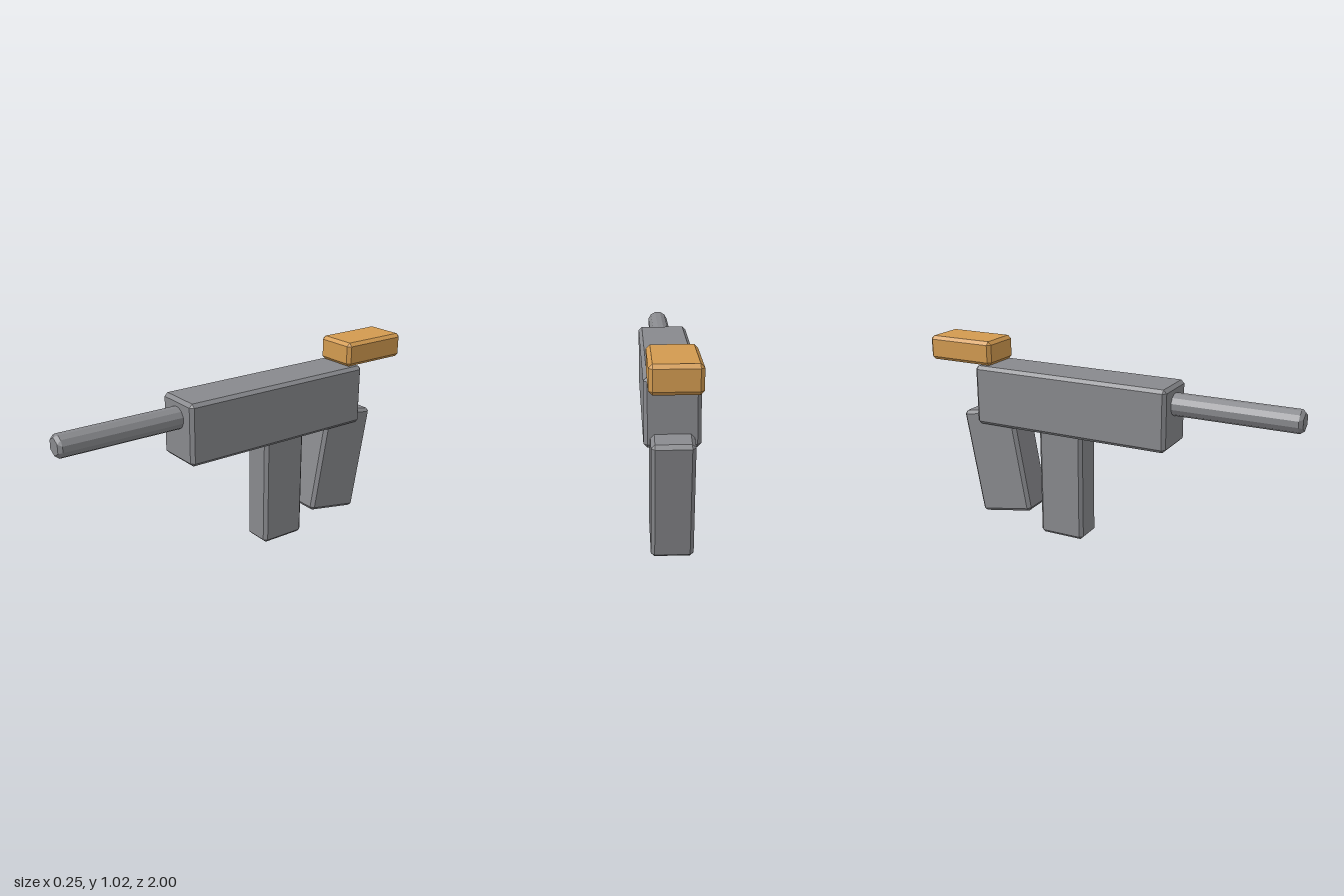
import * as THREE from 'three';
import { ConvexGeometry } from 'three/addons/geometries/ConvexGeometry.js';

const BEVEL = 0.017;

// Box with every edge and corner cut off flat
function bevelBox(w, h, d, b = BEVEL) {
  const half = [w / 2, h / 2, d / 2];
  const points = [];
  for (const sx of [-1, 1]) for (const sy of [-1, 1]) for (const sz of [-1, 1]) {
    for (let axis = 0; axis < 3; axis++) {
      const [x, y, z] = half.map((v, i) => (i === axis ? v : v - b));
      points.push(new THREE.Vector3(sx * x, sy * y, sz * z));
    }
  }
  return new ConvexGeometry(points);
}

// Hexagonal rod along z with bevelled edges and ends
function bevelRod(radius, z0, z1, b = BEVEL) {
  const points = [];
  const ring = (sides, r, start, z) => {
    for (let i = 0; i < sides; i++) {
      const a = start + (i / sides) * Math.PI * 2;
      points.push(new THREE.Vector3(r * Math.cos(a), r * Math.sin(a), z));
    }
  };
  ring(6, radius - 0.013, Math.PI / 2, z0);
  ring(12, radius, Math.PI / 12, z0 + b);
  ring(12, radius, Math.PI / 12, z1 - b);
  ring(6, radius - 0.013, Math.PI / 2, z1);
  return new ConvexGeometry(points);
}

export function createModel() {
  const model = new THREE.Group();
  const grey = new THREE.MeshStandardMaterial({ color: 0x88898d });
  grey.name = 'gunmetal grey';
  const orange = new THREE.MeshStandardMaterial({ color: 0xd29a50 });
  orange.name = 'warm orange';

  const add = (name, geometry, material, x, y, z) => {
    const mesh = new THREE.Mesh(geometry, material);
    mesh.name = name;
    mesh.position.set(x, y, z);
    model.add(mesh);
    return mesh;
  };

  // Main body and barrel
  add('body', bevelBox(0.25, 0.314, 1.078), grey, 0, 0.732, -0.173);
  add('barrel', bevelRod(0.057, 0.3, 1), grey, 0, 0.795, 0);

  // Upright magazine and raked rear grip
  add('magazine', bevelBox(0.158, 0.66, 0.25), grey, 0, 0.33, -0.237);
  const grip = add('grip', bevelBox(0.192, 0.57, 0.308), grey, 0, 0.367, -0.618);
  grip.rotation.x = THREE.MathUtils.degToRad(-10);

  // Block on top of the rear end
  add('rearBlock', bevelBox(0.222, 0.126, 0.376), orange, 0, 0.954, -0.812);

  return model;
}
